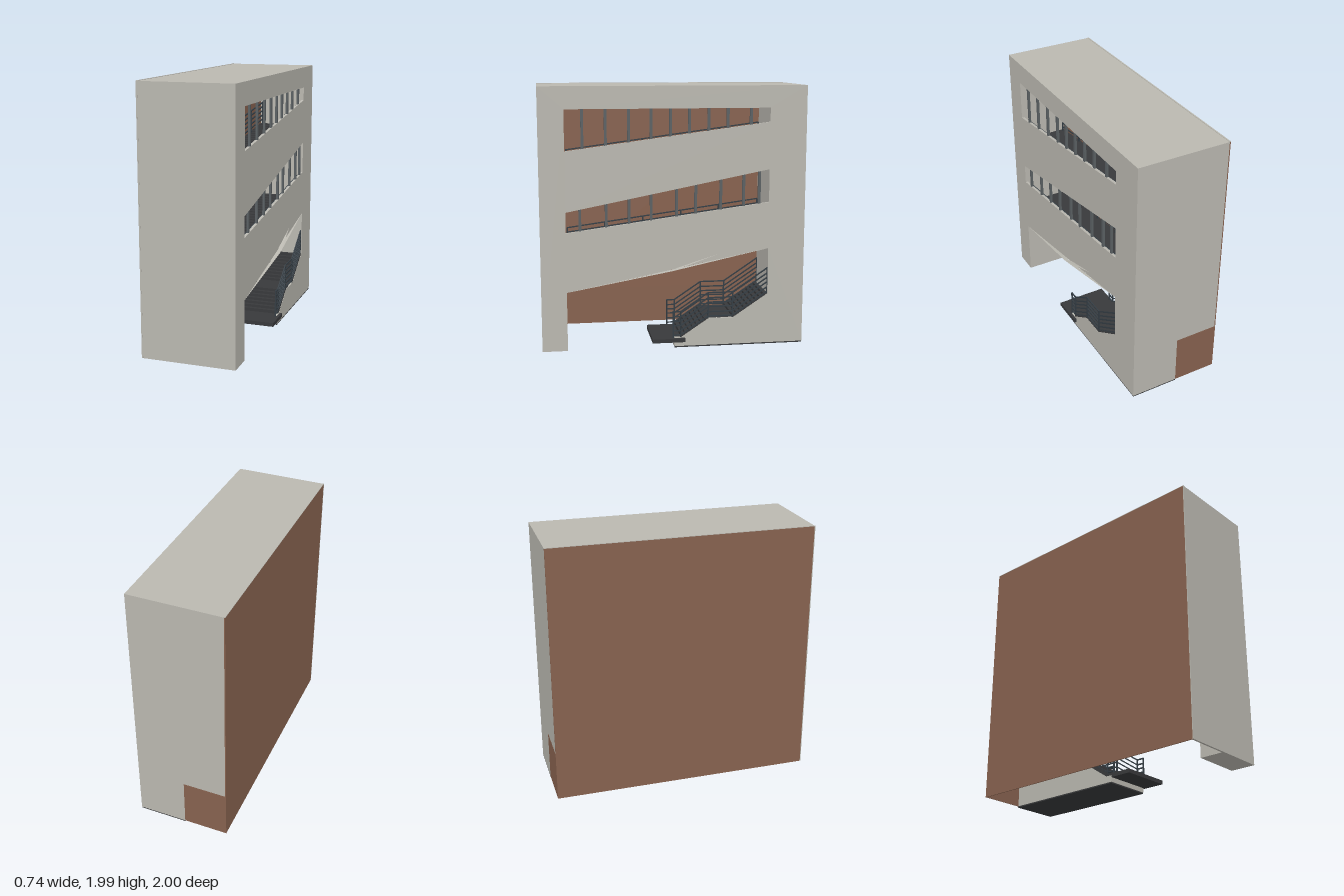
import * as THREE from 'three';

const mat = (name, color, side = THREE.FrontSide) => {
  const m = new THREE.MeshStandardMaterial({ color, side });
  m.name = name;
  return m;
};

export function createModel() {
  const root = new THREE.Group();
  root.name = 'stairBuilding';
  const concrete = mat('concrete', 0xbab8b0);
  const concreteSheet = mat('concreteSheet', 0xbab8b0, THREE.DoubleSide);
  const brown = mat('brown', 0x87624f);
  const dark = mat('darkStair', 0x38393b);
  const railMat = mat('rail', 0x343d44);
  const frameMat = mat('windowFrame', 0x5a6063);

  const add = (geo, material, name, parent = root) => {
    const m = new THREE.Mesh(geo, material);
    m.name = name;
    parent.add(m);
    return m;
  };
  // box given by its limits on each axis
  const box = (x0, x1, y0, y1, z0, z1, material, name, parent) => {
    const m = add(new THREE.BoxGeometry(x1 - x0, y1 - y0, z1 - z0), material, name, parent);
    m.position.set((x0 + x1) / 2, (y0 + y1) / 2, (z0 + z1) / 2);
    return m;
  };
  // side profile in [z, y], extruded along x
  const toPts = (list) => list.map(([z, y]) => new THREE.Vector2(-z, y));
  const profile = (outline, holes, x0, x1, name) => {
    const s = new THREE.Shape(toPts(outline));
    holes.forEach((h) => s.holes.push(new THREE.Path(toPts(h))));
    const g = new THREE.ExtrudeGeometry(s, { depth: x1 - x0, bevelEnabled: false });
    g.rotateY(Math.PI / 2).translate(x0, 0, 0);
    add(g, concrete, name);
  };

  const zA = 0.81, zB = -0.72, top = 1.985, inner = -0.03;
  const at = ([a, b], z) => a + (b - a) * (zA - z) / (zA - zB);
  const windows = [
    { sill: [1.515, 1.715], head: [1.82, 1.82],
      bars: [0.68, 0.51, 0.34, 0.175, 0.03, -0.11, -0.255, -0.4, -0.575] },
    { sill: [0.91, 1.11], head: [1.065, 1.36],
      bars: [0.705, 0.51, 0.34, 0.175, -0.015, -0.16, -0.35, -0.525, -0.645] },
  ];
  const hole = (w, drop) => [[zA, w.sill[0] - drop], [zB, w.sill[1] - drop],
    [zB, w.head[1]], [zA, w.head[0]]];
  const outline = (drop) => [[-1, 0.01], [-1, top], [1, top], [1, 0.01], [zA, 0.01], [zA, 0.46],
    [zB, 0.755], [zB, 0.4 - drop], [-0.45, 0.22 - drop], [-0.26, 0.22 - drop],
    [-0.05, 0.08 - drop], [0, 0.08 - drop], [0, 0.01]];

  // outer skin with the slanted windows, and the stair hall behind it
  profile(outline(0), windows.map((w) => hole(w, 0)), 0.32, 0.34, 'facade');
  profile(outline(0.02), windows.map((w) => hole(w, 0.22)), inner, 0.32, 'stairHall');

  // rear block above the open ground floor
  box(-0.362, inner - 0.008, 0.398, top, -1, 1, concrete, 'rearBlock');
  box(inner - 0.008, inner, 0.39, top - 0.002, -0.998, 0.998, brown, 'hallBackWall');
  box(inner - 0.008, inner, top - 0.002, top, -1, 1, concrete, 'roofJoint');
  box(-0.362, inner - 0.008, 0.39, 0.398, -0.999, 0.98, brown, 'groundCeiling');
  box(-0.37, -0.362, 0.01, top, -1, 1, brown, 'backWall');
  box(-0.371, -0.36, top - 0.001, top + 0.003, -1, 1, concrete, 'roofEdge');
  box(-0.371, -0.36, 0.01, top, 0.995, 1.001, concrete, 'frontEdge');
  box(-0.362, inner, 0.01, 0.4, 0.985, 1, concrete, 'groundFrontWall');
  box(-0.362, inner, 0.01, 0.392, -1, -0.992, brown, 'groundEndPanel');
  for (const z of [-0.999, 0.999]) {
    box(inner - 0.008, inner, 0.398, top, z - 0.001, z + 0.001, concrete, 'wallJoint');
  }
  box(inner, 0.338, 0, 0.009, -0.998, -0.002, dark, 'stairBase');

  // folded fin on the edge of the lower opening
  const fin = new THREE.BufferGeometry();
  fin.setAttribute('position', new THREE.Float32BufferAttribute([
    0.34, 0.46, zA, 0.37, 0.605, 0.03, 0.34, 0.61, 0.03,
    0.37, 0.605, 0.03, 0.34, 0.755, zB, 0.34, 0.61, 0.03,
    0.37, 0.605, 0.03, 0.34, 0.72, -0.33, 0.34, 0.625, -0.02], 3));
  fin.computeVertexNormals();
  add(fin, concreteSheet, 'edgeFin');

  // window bars
  windows.forEach((w) => w.bars.forEach((z) => {
    box(0.322, 0.338, at(w.sill, z) - 0.005, at(w.head, z) + 0.005, z - 0.01, z + 0.01,
      frameMat, 'windowBar');
  }));

  // treads along a straight flight from [z, y] to [z, y]
  const flight = (a, b, count, x0, x1, parent) => {
    for (let i = 0; i < count; i++) {
      const z0 = a[0] + (b[0] - a[0]) * i / count;
      const z1 = a[0] + (b[0] - a[0]) * (i + 1) / count;
      const y = a[1] + (b[1] - a[1]) * (i + 1) / count;
      box(x0, x1, y - 0.035, y, z1 - 0.005, z0, dark, 'tread', parent);
    }
  };
  // parallel bars and posts following a path of [z, y] points
  const railing = (path, x, heights, parent) => {
    for (let i = 0; i + 1 < path.length; i++) {
      const [za, ya] = path[i], [zb, yb] = path[i + 1];
      const len = Math.hypot(zb - za, yb - ya);
      for (const h of heights) {
        const m = add(new THREE.BoxGeometry(0.009, 0.009, len + 0.004), railMat, 'railBar', parent);
        m.position.set(x, (ya + yb) / 2 + h, (za + zb) / 2);
        m.rotation.x = Math.atan2(yb - ya, za - zb);
      }
    }
    const tall = heights[heights.length - 1];
    for (const [z, y] of path) {
      box(x - 0.005, x + 0.005, y - 0.01, y + tall, z - 0.005, z + 0.005, railMat, 'railPost', parent);
    }
  };

  // entrance stair: platform, two flights and a landing
  const lower = new THREE.Group();
  lower.name = 'entranceStair';
  root.add(lower);
  box(inner, 0.36, 0.045, 0.075, -0.08, 0.17, dark, 'platform', lower);
  flight([-0.05, 0.08], [-0.26, 0.22], 7, inner, 0.338, lower);
  box(inner, 0.338, 0.195, 0.22, -0.45, -0.26, dark, 'landing', lower);
  flight([-0.45, 0.22], [zB, 0.4], 9, inner, 0.338, lower);
  const path = [[0.01, 0.08], [-0.05, 0.08], [-0.26, 0.22], [-0.45, 0.22], [zB, 0.4]];
  for (const x of [-0.015, 0.33]) {
    railing(path, x, [0.015, 0.05, 0.09, 0.125, 0.16, 0.2], lower);
  }

  // stairs behind the windows, kept below the sills
  windows.forEach((w) => {
    const g = new THREE.Group();
    g.name = 'upperStair';
    root.add(g);
    const y = (z) => at(w.sill, z) - 0.205;
    flight([zA, y(zA)], [zB, y(zB)], 26, inner + 0.002, 0.319, g);
    const pts = [0.79, 0.5, 0.2, -0.1, -0.4, -0.71].map((z) => [z, y(z)]);
    for (const x of [-0.01, 0.3]) railing(pts, x, [0.04, 0.075, 0.11, 0.145, 0.18], g);
  });

  return root;
}
